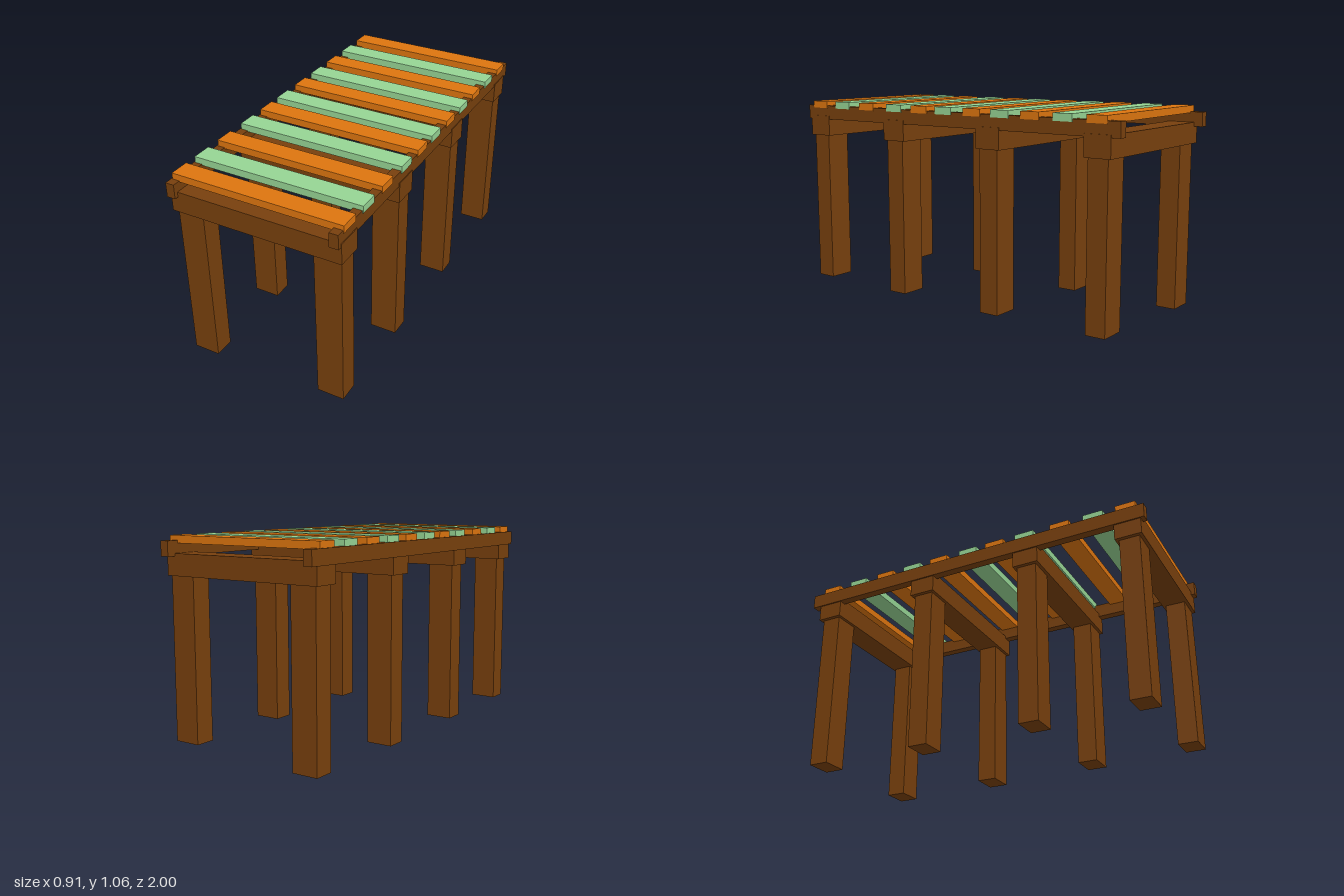
import * as THREE from 'three';

const material = (color) => new THREE.MeshStandardMaterial({ color, flatShading: true });

// Box given by its extents along each axis
function block(name, mat, [x0, x1], [y0, y1], [z0, z1]) {
  const mesh = new THREE.Mesh(new THREE.BoxGeometry(x1 - x0, y1 - y0, z1 - z0), mat);
  mesh.position.set((x0 + x1) / 2, (y0 + y1) / 2, (z0 + z1) / 2);
  mesh.name = name;
  return mesh;
}

export function createModel() {
  const model = new THREE.Group();
  model.name = 'slattedTable';
  const wood = material(0x78400d);
  const orange = material(0xdd750f);
  const green = material(0x96d494);
  const around = (c, half) => [c - half, c + half];

  // Four trestles: a cross beam on two legs of slightly uneven length
  const trestles = [
    { z: 0.909, beam: 0.872, right: 0.024, left: 0.055 },
    { z: 0.351, beam: 0.872, right: 0.012, left: 0.044 },
    { z: -0.268, beam: 0.867, right: 0, left: 0.033 },
    { z: -0.884, beam: 0.867, right: 0, left: 0.033 },
  ];
  for (const t of trestles) {
    const trestle = new THREE.Group();
    trestle.name = 'trestle';
    trestle.add(
      block('crossBeam', wood, [-0.451, 0.457], [t.beam, t.beam + 0.11], around(t.z, 0.07)),
      block('rightLeg', wood, [-0.431, -0.29], [t.right, t.beam + 0.005], around(t.z, 0.053)),
      block('leftLeg', wood, [0.305, 0.447], [t.left, t.beam + 0.005], around(t.z, 0.053)),
    );
    model.add(trestle);
  }

  // Long side rails let into the cross beams
  model.add(
    block('rightRail', wood, [-0.458, -0.412], [0.955, 1.031], [-1, 1]),
    block('leftRail', wood, [0.406, 0.453], [0.963, 1.039], [-1, 1]),
  );

  // Slats in alternating colours, front to back
  const slats = [0.904, 0.732, 0.548, 0.349, 0.173, 0.013, -0.169, -0.34, -0.516, -0.698, -0.88];
  slats.forEach((z, i) => {
    model.add(block('slat', i % 2 ? green : orange, [-0.451, 0.457], [1.025, 1.063], around(z, 0.053)));
  });

  return model;
}
